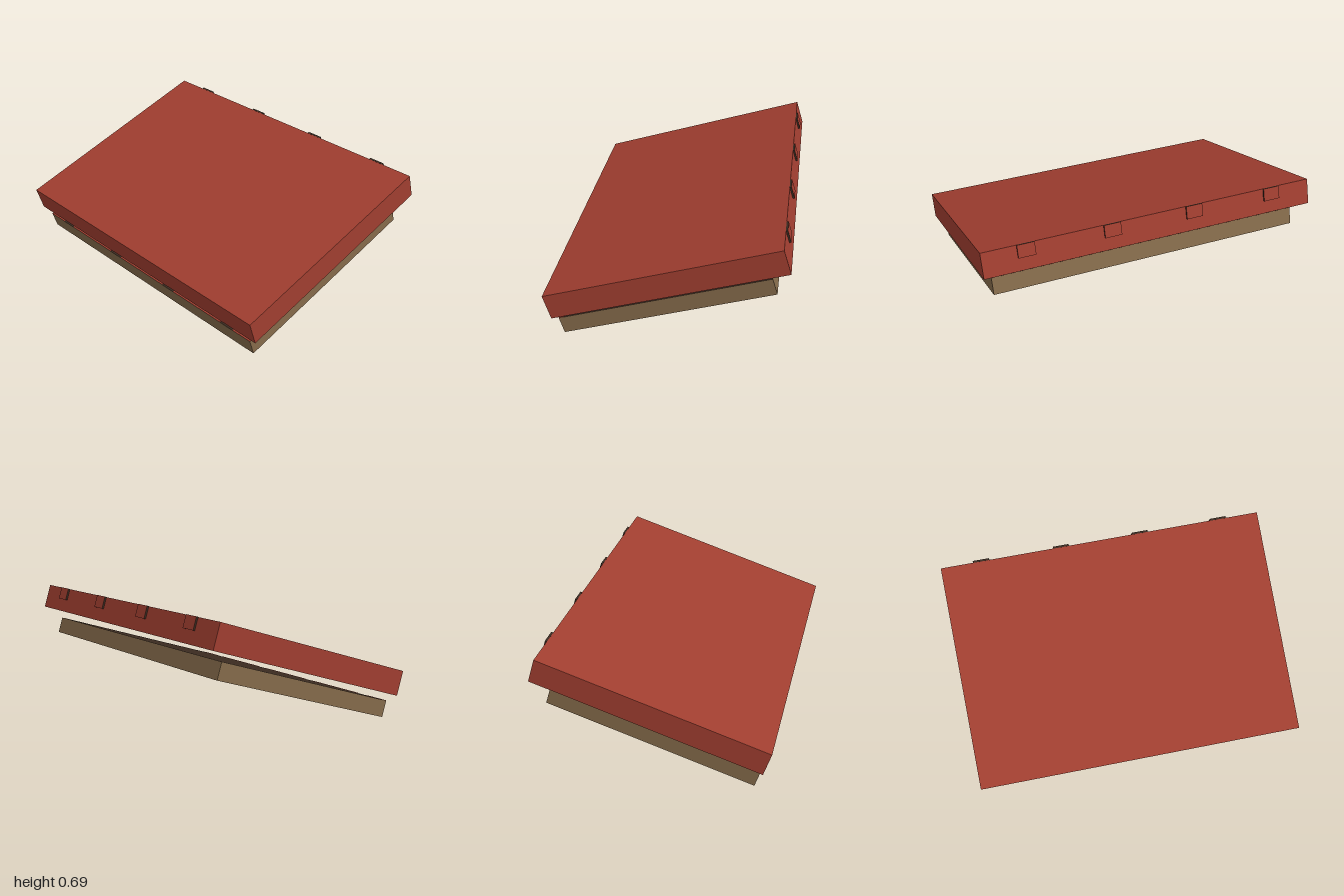
import * as THREE from 'three';

const mat = (name, color) => {
  const m = new THREE.MeshStandardMaterial({ color });
  m.name = name;
  return m;
};

export function createModel() {
  const red = mat('brickRed', 0xa03e30);
  const tan = mat('tan', 0x846a4a);
  const dark = mat('darkBrown', 0x3a2a20);
  const model = new THREE.Group();
  model.name = 'slopedPanels';

  const box = (parent, name, size, pos, material) => {
    const mesh = new THREE.Mesh(new THREE.BoxGeometry(...size), material);
    mesh.name = name;
    mesh.position.set(...pos);
    parent.add(mesh);
    return mesh;
  };

  // Both layers share the same slope, down towards the front
  const layer = (name, y) => {
    const g = new THREE.Group();
    g.name = name;
    g.position.y = y;
    g.rotation.x = 0.3;
    model.add(g);
    return g;
  };

  // Lower slab, with a dark top face (box face order: +x -x +y -y +z -z)
  const lower = layer('lowerLayer', 0.233);
  box(lower, 'lowerSlab', [1.876, 0.1, 1.25], [0, 0, 0], [tan, tan, dark, tan, tan, tan]);

  // Upper slab
  const upper = layer('upperLayer', 0.41);
  box(upper, 'upperSlab', [2, 0.15, 1.376], [0, 0, 0], red);

  // Red edging on the lower slab, broken by four dark notches
  const cuts = [-0.938, -0.8, -0.7, -0.3, -0.2, 0.2, 0.3, 0.7, 0.8, 0.938];
  for (let i = 0; i < cuts.length; i += 2) {
    const w = cuts[i + 1] - cuts[i];
    box(lower, 'edging', [w, 0.002, 0.03], [cuts[i] + w / 2, 0.051, 0.61], red);
  }

  // Tabs along the upper back edge: red outer face, dark rims
  for (const x of [-0.75, -0.25, 0.25, 0.75]) {
    box(upper, 'backTab', [0.1, 0.075, 0.012], [x, 0.0385, -0.693], [dark, dark, dark, dark, dark, red]);
  }
  return model;
}
